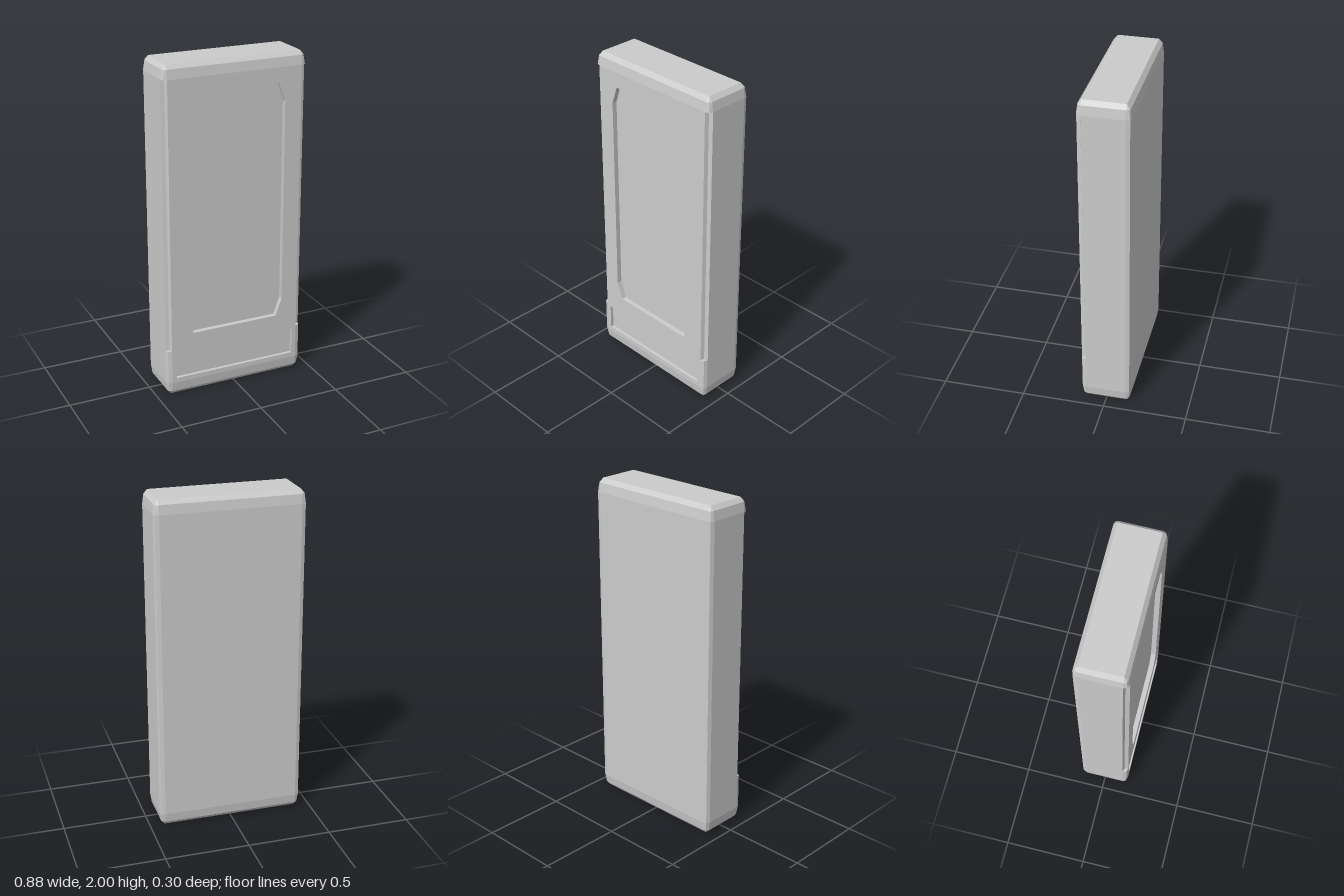
import * as THREE from 'three';

const material = new THREE.MeshStandardMaterial({ color: 0xcccccc, flatShading: true });
const FRONT = 0.15, LOW = 0.08, HIGH = 1.92, FLAT_X = 0.41, FLAT_Z = 0.12;

// Bevelled rectangle at height y; cove pushes the two front corners inwards.
function ring(y, X, Z, [mx, mz], cove) {
  const [fx, fz] = cove || [mx, mz];
  const right = [[FLAT_X, Z], [fx, fz], [X, FLAT_Z], [X, -FLAT_Z], [mx, -mz], [FLAT_X, -Z]];
  const left = right.map(([x, z]) => [-x, z]).reverse();
  return [...right, ...left].map(([x, z]) => new THREE.Vector3(x, y, z));
}

// Skin between rings with end caps; the flat front is left open for the face plate.
function loft(rings) {
  const pos = [];
  const tri = (a, b, c) => {
    if (new THREE.Triangle(a, b, c).getArea() > 1e-8) {
      for (const p of [a, b, c]) pos.push(p.x, p.y, p.z);
    }
  };
  for (let r = 0; r < rings.length - 1; r++) {
    const lo = rings[r], hi = rings[r + 1], n = lo.length;
    const open = lo[0].y >= LOW && hi[0].y <= HIGH;
    for (let i = 0; i < n; i++) {
      if (open && i === n - 1) continue;
      const j = (i + 1) % n;
      tri(lo[i], lo[j], hi[j]);
      tri(lo[i], hi[j], hi[i]);
    }
  }
  const bottom = rings[0], top = rings[rings.length - 1];
  for (let i = 1; i < top.length - 1; i++) {
    tri(top[0], top[i], top[i + 1]);
    tri(bottom[0], bottom[i + 1], bottom[i]);
  }
  const geometry = new THREE.BufferGeometry();
  geometry.setAttribute('position', new THREE.Float32BufferAttribute(pos, 3));
  geometry.computeVertexNormals();
  return geometry;
}

const outline = (points) => points.map(([x, y]) => new THREE.Vector2(x, y));
const rectangle = (x, y0, y1) => outline([[-x, y0], [x, y0], [x, y1], [-x, y1]]);

export function createModel() {
  const group = new THREE.Group();
  const add = (name, geometry, z = 0) => {
    const mesh = new THREE.Mesh(geometry, material);
    mesh.name = name;
    mesh.position.z = z;
    group.add(mesh);
  };

  // Slab with two-step bevels and a cove along each front upright edge
  const full = (y, cove) => ring(y, 0.44, FRONT, [0.432, 0.143], cove);
  const narrow = (y) => ring(y, 0.432, 0.142, [0.425, 0.136]);
  const end = (y) => ring(y, FLAT_X, FLAT_Z, [FLAT_X, FLAT_Z]);
  const cove = [0.417, 0.127];
  add('body', loft([
    end(0), narrow(0.025), full(LOW), full(0.29), full(0.29, cove),
    full(HIGH, cove), full(HIGH), narrow(1.975), end(2),
  ]));

  // Front plate with the two recess openings
  const panel = outline([
    [-0.27, 0.385], [0.27, 0.385], [0.308, 0.49], [0.308, 1.72],
    [0.27, 1.83], [-0.27, 1.83], [-0.308, 1.72], [-0.308, 0.49],
  ]);
  const strip = rectangle(0.383, 0.11, 0.27);
  const plate = new THREE.Shape(rectangle(FLAT_X, LOW, HIGH));
  plate.holes.push(new THREE.Path(panel), new THREE.Path(strip));
  const depth = 0.03;
  add('frontPlate', new THREE.ExtrudeGeometry(plate, { depth, bevelEnabled: false }), FRONT - depth);

  // Recess floors
  add('mainPanel', new THREE.ShapeGeometry(new THREE.Shape(panel)), FRONT - depth);
  add('lowerPanel', new THREE.ShapeGeometry(new THREE.Shape(strip)), FRONT - 0.02);

  return group;
}
